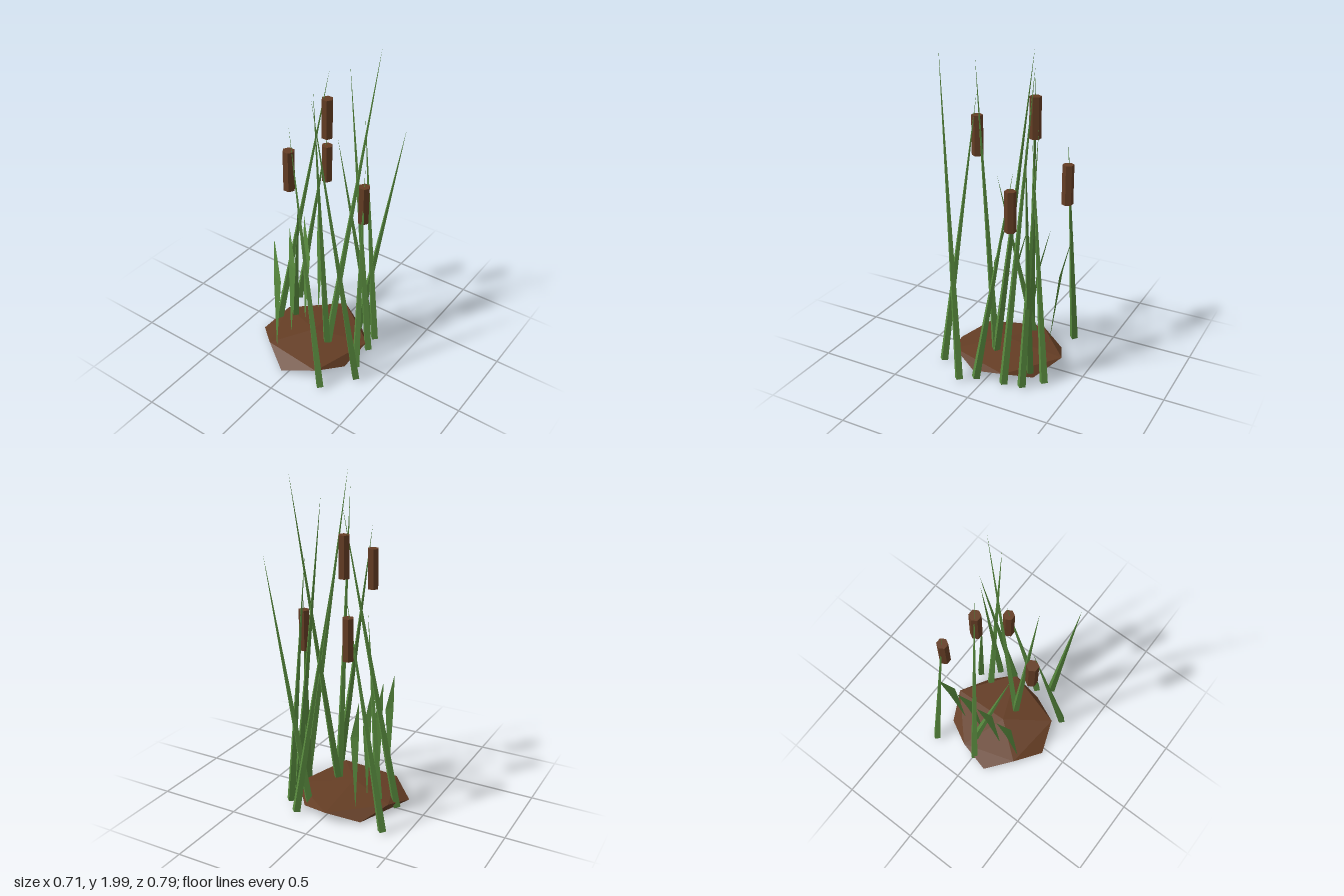
import * as THREE from 'three';
import { ConvexGeometry } from 'three/addons/geometries/ConvexGeometry.js';

const V = (x, y, z) => new THREE.Vector3(x, y, z);

export function createModel() {
  const model = new THREE.Group();
  const green = new THREE.MeshStandardMaterial({ color: 0x588a3e, flatShading: true });
  green.name = 'reed green';
  const leafGreen = new THREE.MeshStandardMaterial({ color: 0x588a3e, flatShading: true, side: THREE.DoubleSide });
  leafGreen.name = 'leaf green';
  const brown = new THREE.MeshStandardMaterial({ color: 0x643d24, flatShading: true });
  brown.name = 'earth brown';

  const add = (name, geometry, material) => {
    const mesh = new THREE.Mesh(geometry, material);
    mesh.name = name;
    model.add(mesh);
    return mesh;
  };

  // Faceted mound: high and low rim corners alternate around a shallow peak
  const rim = [
    [-0.11, -0.36], [0.09, -0.315], [0.26, -0.22], [0.345, -0.035], [0.25, 0.16],
    [0.11, 0.285], [-0.1, 0.26], [-0.28, 0.17], [-0.355, -0.035], [-0.245, -0.21],
  ].map(([x, z], i) => V(x, i % 2 ? 0.07 : 0.015, z));
  add('mound', new ConvexGeometry([...rim, V(-0.02, 0.11, -0.03), V(0, 0.005, -0.03)]), brown);

  // Reeds: [base x, base z, tip x, tip y, tip z]
  const reeds = [
    [0.28, -0.37, 0.3, 1.38, -0.15],
    [-0.003, -0.325, 0.147, 1.84, -0.04],
    [0.07, -0.245, -0.11, 1.15, -0.07],
    [-0.32, 0.232, -0.22, 1.65, -0.04],
    [-0.135, 0.367, -0.325, 1.93, 0.18],
    [-0.052, 0.312, 0.14, 1.31, 0.21],
    [-0.045, 0.085, 0.262, 1.99, 0.213],
    [-0.035, 0.085, -0.162, 1.87, 0.075],
    [0.325, 0.172, 0.155, 1.43, 0.012],
    [0.12, 0.29, 0.193, 1.87, 0.06],
    [0.228, 0.268, 0.25, 1.55, 0.13],
    [0.218, 0.143, 0.292, 1.54, 0.37],
  ];
  for (const [bx, bz, tx, ty, tz] of reeds) {
    const base = V(bx, 0.015, bz);
    const axis = V(tx, ty, tz).sub(base);
    const length = axis.length();
    const geometry = new THREE.ConeGeometry(0.027, length, 4).translate(0, length / 2, 0);
    const reed = add('reed', geometry, green);
    reed.quaternion.setFromUnitVectors(V(0, 1, 0), axis.normalize());
    reed.position.copy(base);
  }

  // Upright six-sided seed heads
  for (const [x, y, z] of [[0.298, 1.137, -0.161], [0.141, 1.54, -0.051], [-0.222, 1.388, -0.043], [0.126, 1.078, 0.217]]) {
    add('seedHead', new THREE.CylinderGeometry(0.034, 0.034, 0.24, 6), brown).position.set(x, y, z);
  }

  // Row of flat leaves, narrow at the foot, widest near the middle, bent towards the tip
  const foot = [-0.24, 0.05, -0.157], front = [-0.18, 0.54, -0.157];
  const back = [-0.18, 0.56, -0.21], tip = [-0.13, 0.8, -0.237];
  const leaf = new THREE.BufferGeometry();
  leaf.setAttribute('position', new THREE.Float32BufferAttribute(
    [foot, back, front, front, back, tip].flat(), 3));
  leaf.computeVertexNormals();
  for (let i = 0; i < 4; i++) add('leaf', leaf, leafGreen).position.x = i * 0.147;

  return model;
}
